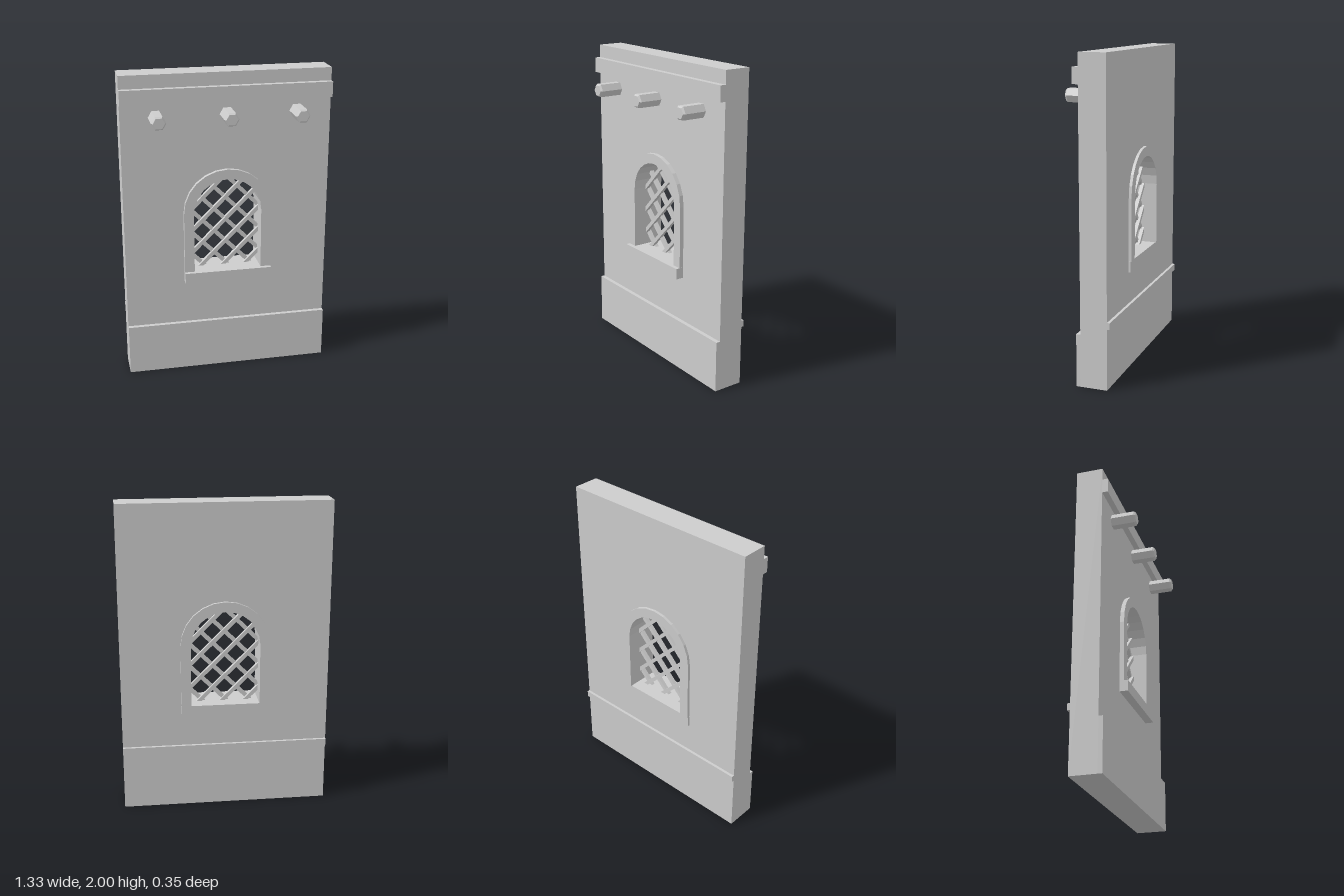
import * as THREE from 'three';

export function createModel() {
  const model = new THREE.Group();
  model.name = 'windowWall';
  const stone = new THREE.MeshStandardMaterial({ color: 0xcccccc, flatShading: true });
  stone.name = 'stone grey';

  const W = 0.665, FRONT = 0.015, BACK = -0.155;
  const SILL = 0.7, SPRING = 1.1, INNER = 0.22, OUTER = 0.284;

  const add = (name, geometry, parent = model) => {
    const mesh = new THREE.Mesh(geometry, stone);
    mesh.name = name;
    parent.add(mesh);
    return mesh;
  };
  // Box given by its limits
  const block = (name, x, y0, y1, z0, z1) =>
    add(name, new THREE.BoxGeometry(2 * x, y1 - y0, z1 - z0))
      .position.set(0, (y0 + y1) / 2, (z0 + z1) / 2);
  const extrude = (name, shape, z0, z1) => {
    const geometry = new THREE.ExtrudeGeometry(shape, { depth: z1 - z0, bevelEnabled: false, curveSegments: 12 });
    add(name, geometry).position.z = z0;
  };
  // Points of a round arch from its right foot over to its left foot
  const arch = (r, foot) => {
    const points = [new THREE.Vector2(r, foot)];
    for (let i = 0; i <= 12; i++) {
      const a = (i / 12) * Math.PI;
      points.push(new THREE.Vector2(r * Math.cos(a), SPRING + r * Math.sin(a)));
    }
    points.push(new THREE.Vector2(-r, foot));
    return points;
  };

  // Wall with the window opening
  const wall = new THREE.Shape([[-W, 0], [W, 0], [W, 2], [-W, 2]].map(p => new THREE.Vector2(...p)));
  wall.holes.push(new THREE.Path(arch(0.25, 0.66).reverse()));
  extrude('wall', wall, BACK, FRONT);

  // Horizontal mouldings
  block('plinth', W, 0, 0.333, FRONT, 0.042);
  block('cornice', W, 1.82, 1.917, FRONT, 0.052);
  block('backMoulding', W, 0.386, 0.428, -0.173, BACK);

  // Arched frame lining the whole opening, and its sill
  extrude('windowFrame', new THREE.Shape([...arch(OUTER, SILL), ...arch(INNER, SILL).reverse()]), -0.173, 0.042);
  block('windowSill', 0.285, 0.63, SILL, -0.167, 0.068);

  // Hexagonal pegs with chamfered ends
  const pegProfile = [[0.047, 0], [0.047, 0.148], [0.037, 0.16], [0, 0.16]].map(p => new THREE.Vector2(...p));
  for (const x of [-0.445, 0, 0.445]) {
    const peg = add('peg', new THREE.LatheGeometry(pegProfile, 6, Math.PI / 6));
    peg.rotation.x = Math.PI / 2;
    peg.position.set(x, 1.737, FRONT);
  }

  // Diagonal lattice, each bar cut to the opening
  const lattice = new THREE.Group();
  lattice.name = 'lattice';
  model.add(lattice);
  const inside = (x, y) => Math.abs(x) < INNER && y > SILL &&
    (y < SPRING || Math.hypot(x, y - SPRING) < INNER);
  for (const slope of [-1, 1]) {
    for (let k = -2; k <= 6; k++) {
      const c = 1.32 - k * 0.152;
      let x0 = Infinity, x1 = -Infinity;
      for (let x = -INNER; x <= INNER; x += 0.002) {
        if (inside(x, c + slope * x)) {
          x0 = Math.min(x0, x);
          x1 = Math.max(x1, x);
        }
      }
      if (x1 - x0 < 0.03) continue;
      const mid = (x0 + x1) / 2;
      const bar = add('latticeBar', new THREE.BoxGeometry((x1 - x0) * Math.SQRT2 + 0.03, 0.024, 0.024), lattice);
      bar.position.set(mid, c + slope * mid, -0.066 + slope * 0.008);
      bar.rotation.z = slope * Math.PI / 4;
    }
  }
  return model;
}
